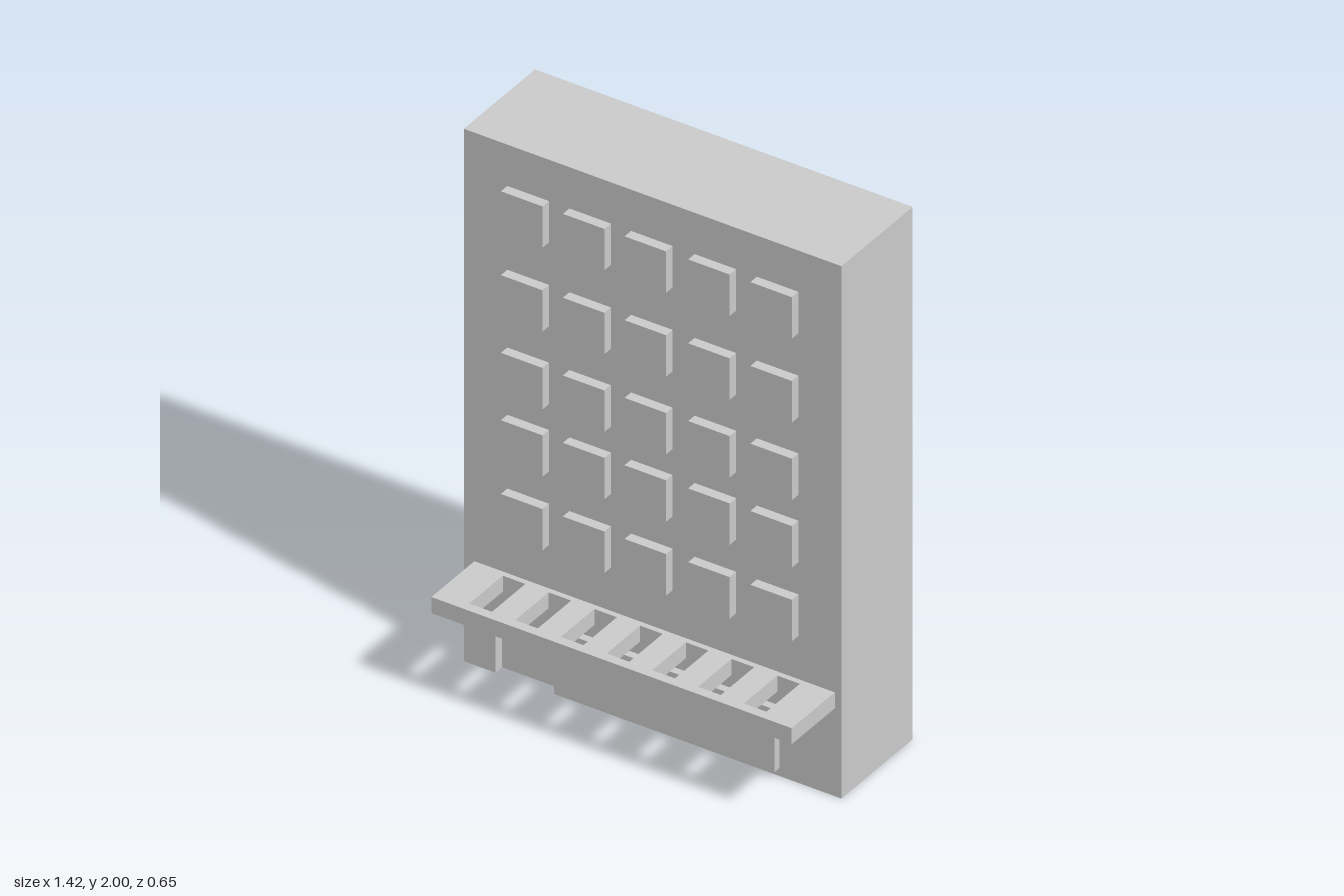
import * as THREE from 'three';
import { mergeGeometries } from 'three/addons/utils/BufferGeometryUtils.js';

const material = new THREE.MeshStandardMaterial({ color: 0xcccccc, flatShading: true });

// Main block and door recess
const W = 0.71, H = 2, BACK = -0.325, FRONT = 0.08;
const DOOR = { x0: -0.59, x1: -0.37, top: 0.165, z: 0.043 };

function mesh(name, geometry) {
  const m = new THREE.Mesh(geometry, material);
  m.name = name;
  return m;
}

// Box given by its extents on each axis
function block(name, [x0, x1], [y0, y1], [z0, z1]) {
  const g = new THREE.BoxGeometry(x1 - x0, y1 - y0, z1 - z0);
  g.translate((x0 + x1) / 2, (y0 + y1) / 2, (z0 + z1) / 2);
  return mesh(name, g);
}

function outline(points) {
  return new THREE.Shape(points.map(([x, y]) => new THREE.Vector2(x, y)));
}

// Rectangle turned about x and y, then moved to its centre
function wall(w, h, rx, ry, x, y, z) {
  return new THREE.PlaneGeometry(w, h).rotateX(rx).rotateY(ry).translate(x, y, z);
}

// Outer shell with the doorway cut into the front and the underside
function shell() {
  const { x0, x1, top, z } = DOOR;
  const depth = FRONT - BACK, midZ = (FRONT + BACK) / 2;
  const jamb = FRONT - z, jambZ = (FRONT + z) / 2, doorX = (x0 + x1) / 2;
  const q = Math.PI / 2;
  const front = new THREE.ShapeGeometry(outline([
    [-W, 0], [x0, 0], [x0, top], [x1, top], [x1, 0], [W, 0], [W, H], [-W, H],
  ])).translate(0, 0, FRONT);
  const underside = new THREE.ShapeGeometry(outline([
    [-W, BACK], [W, BACK], [W, FRONT], [x1, FRONT], [x1, z], [x0, z], [x0, FRONT], [-W, FRONT],
  ])).rotateX(q);
  return mergeGeometries([
    front,
    underside,
    wall(2 * W, H, 0, Math.PI, 0, H / 2, BACK),
    wall(depth, H, 0, q, W, H / 2, midZ),
    wall(depth, H, 0, -q, -W, H / 2, midZ),
    wall(2 * W, depth, -q, 0, 0, H, midZ),
    // Door face, jambs and lintel
    wall(x1 - x0, top, 0, 0, doorX, top / 2, z),
    wall(jamb, top, 0, q, x0, top / 2, jambZ),
    wall(jamb, top, 0, -q, x1, top / 2, jambZ),
    wall(x1 - x0, jamb, q, 0, doorX, top, jambZ),
  ]);
}

// Slatted canopy: a slab pierced by seven openings
function canopy() {
  const z1 = 0.325, bottom = 0.33, thickness = 0.06;
  const slab = outline([[-0.67, -z1], [0.685, -z1], [0.685, -FRONT], [-0.67, -FRONT]]);
  for (let i = 0; i < 7; i++) {
    const x = -0.55 + i * 0.172, w = 0.085;
    slab.holes.push(outline([[x, -0.29], [x, -0.1], [x + w, -0.1], [x + w, -0.29]]));
  }
  const g = new THREE.ExtrudeGeometry(slab, { depth: thickness, bevelEnabled: false });
  return mesh('canopy', g.rotateX(-Math.PI / 2).translate(0, bottom, 0));
}

export function createModel() {
  const model = new THREE.Group();
  model.name = 'building';
  model.add(mesh('buildingBody', shell()));
  model.add(block('shopWindow', [-0.297, 0.477], [0.03, 0.265], [FRONT, 0.108]));
  model.add(canopy());

  // Grid of projecting windows
  const windows = new THREE.Group();
  windows.name = 'windows';
  const half = 0.078;
  for (const y of [0.63, 0.907, 1.16, 1.452, 1.767]) {
    for (const x of [-0.468, -0.235, -0.003, 0.236, 0.47]) {
      windows.add(block('window', [x - half, x + half], [y - half, y + half], [FRONT, 0.117]));
    }
  }
  model.add(windows);
  return model;
}
